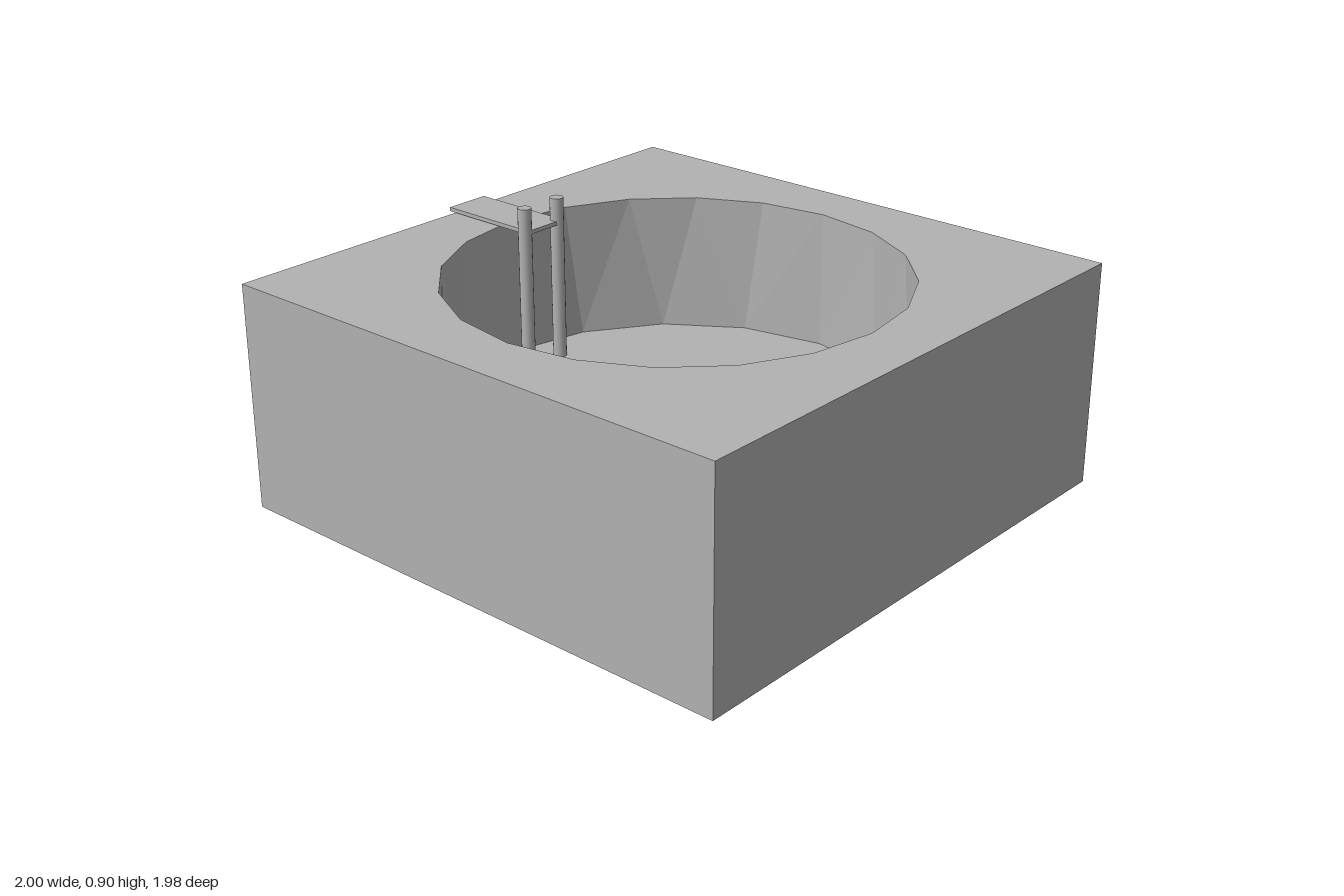
import * as THREE from 'three';

export function createModel() {
  const group = new THREE.Group();
  const grey = new THREE.MeshStandardMaterial({ color: 0xb2b2b2 });
  grey.name = 'grey';

  const add = (name, geometry, x, y, z) => {
    const mesh = new THREE.Mesh(geometry, grey);
    mesh.name = name;
    mesh.position.set(x, y, z);
    group.add(mesh);
    return mesh;
  };

  const size = 1.98, height = 0.8, floorY = 0.31, radius = 0.778;
  const rimSides = 20, floorSides = 16;
  const cx = 0.007;

  // Block sides and underside: a box without its top face
  const box = new THREE.BoxGeometry(size, height, size);
  const index = Array.from(box.index.array);
  index.splice(12, 6);
  box.setIndex(index);
  box.clearGroups();
  add('block', box, cx, height / 2, 0);

  // Deck with a polygonal opening
  const h = size / 2;
  const deck = new THREE.Shape([
    new THREE.Vector2(-h, -h), new THREE.Vector2(h, -h),
    new THREE.Vector2(h, h), new THREE.Vector2(-h, h),
  ]);
  const rim = [];
  for (let i = 0; i < rimSides; i++) {
    const a = -i / rimSides * Math.PI * 2;
    rim.push(new THREE.Vector2(radius * Math.cos(a), radius * Math.sin(a)));
  }
  deck.holes.push(new THREE.Path(rim));
  add('deck', new THREE.ShapeGeometry(deck).rotateX(-Math.PI / 2), cx, height, 0);

  // Basin wall: facets joining the rim polygon to the coarser floor polygon
  const point = (i, sides, y) => {
    const a = i / sides * Math.PI * 2;
    return [radius * Math.cos(a), y, radius * Math.sin(a)];
  };
  const positions = [];
  let t = 0, b = 0;
  while (t < rimSides || b < floorSides) {
    const top = point(t, rimSides, height), low = point(b, floorSides, floorY);
    if ((t + 1) / rimSides <= (b + 1) / floorSides && t < rimSides) {
      positions.push(...top, ...low, ...point(++t, rimSides, height));
    } else {
      positions.push(...low, ...point(++b, floorSides, floorY), ...top);
    }
  }
  const wall = new THREE.BufferGeometry();
  wall.setAttribute('position', new THREE.Float32BufferAttribute(positions, 3));
  wall.computeVertexNormals();
  add('basinWall', wall, cx, 0, 0);

  // Basin floor
  add('basinFloor', new THREE.CircleGeometry(radius, floorSides).rotateX(-Math.PI / 2), cx, floorY, 0);

  // Boarding plank, overhanging the edge
  add('plank', new THREE.BoxGeometry(0.39, 0.014, 0.166), -0.805, 0.812, -0.018);

  // Pair of posts rising from the basin floor
  const postHeight = 0.9 - floorY;
  for (const z of [0.066, -0.09]) {
    add('post', new THREE.CylinderGeometry(0.024, 0.024, postHeight, 16), -0.626, floorY + postHeight / 2, z);
  }

  return group;
}
